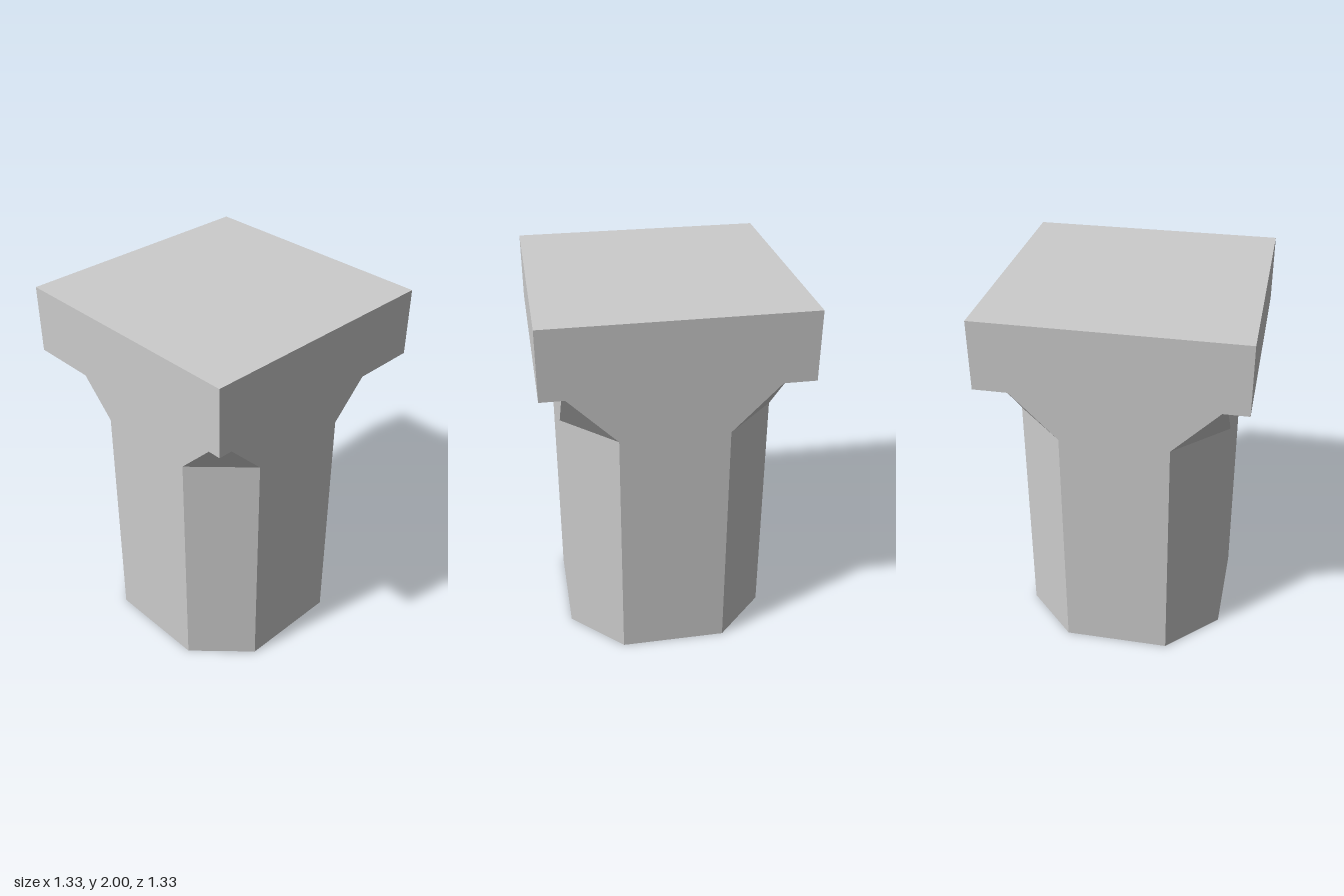
import * as THREE from 'three';

// Octagonal ring: half width a, half length b of the main sides (b = a gives a square)
function ring(y, a, b) {
  const points = [];
  let pair = [[-b, a], [b, a]];
  for (let side = 0; side < 4; side++) {
    for (const [x, z] of pair) points.push(new THREE.Vector3(x, y, z));
    pair = pair.map(([x, z]) => [z, -x]);
  }
  return points;
}

// Flat-faced loft through rings, optionally closed at either end
function loft(rings, closeBottom, closeTop) {
  const corners = [];
  const tri = (p, q, r) => {
    if (new THREE.Triangle(p, q, r).getArea() > 1e-6) {
      for (const v of [p, q, r]) corners.push(v);
    }
  };
  for (let k = 0; k < rings.length - 1; k++) {
    const low = rings[k], high = rings[k + 1];
    for (let i = 0; i < 8; i++) {
      const j = (i + 1) % 8;
      tri(low[i], low[j], high[j]);
      tri(low[i], high[j], high[i]);
    }
  }
  const first = rings[0], last = rings[rings.length - 1];
  for (let i = 1; i < 7; i++) {
    if (closeBottom) tri(first[0], first[i + 1], first[i]);
    if (closeTop) tri(last[0], last[i], last[i + 1]);
  }
  const geometry = new THREE.BufferGeometry().setFromPoints(corners);
  geometry.computeVertexNormals();
  return geometry;
}

export function createModel() {
  const model = new THREE.Group();
  model.name = 'column';
  const stone = new THREE.MeshStandardMaterial({ color: 0xcccccc });
  stone.name = 'pale grey stone';

  const shaftHalf = 0.553, sideHalf = 0.283, capHalf = 0.666;

  // Chamfered shaft, its corners returning to a square at the top
  const shaft = new THREE.Mesh(loft([
    ring(0, shaftHalf, sideHalf),
    ring(1.327, shaftHalf, sideHalf),
    ring(1.597, shaftHalf, shaftHalf),
  ], true, false), stone);
  shaft.name = 'shaft';

  // Square capital with a sloped underside
  const capital = new THREE.Mesh(loft([
    ring(1.597, shaftHalf, shaftHalf),
    ring(1.64, capHalf, capHalf),
    ring(2, capHalf, capHalf),
  ], false, true), stone);
  capital.name = 'capital';

  model.add(shaft, capital);
  return model;
}
